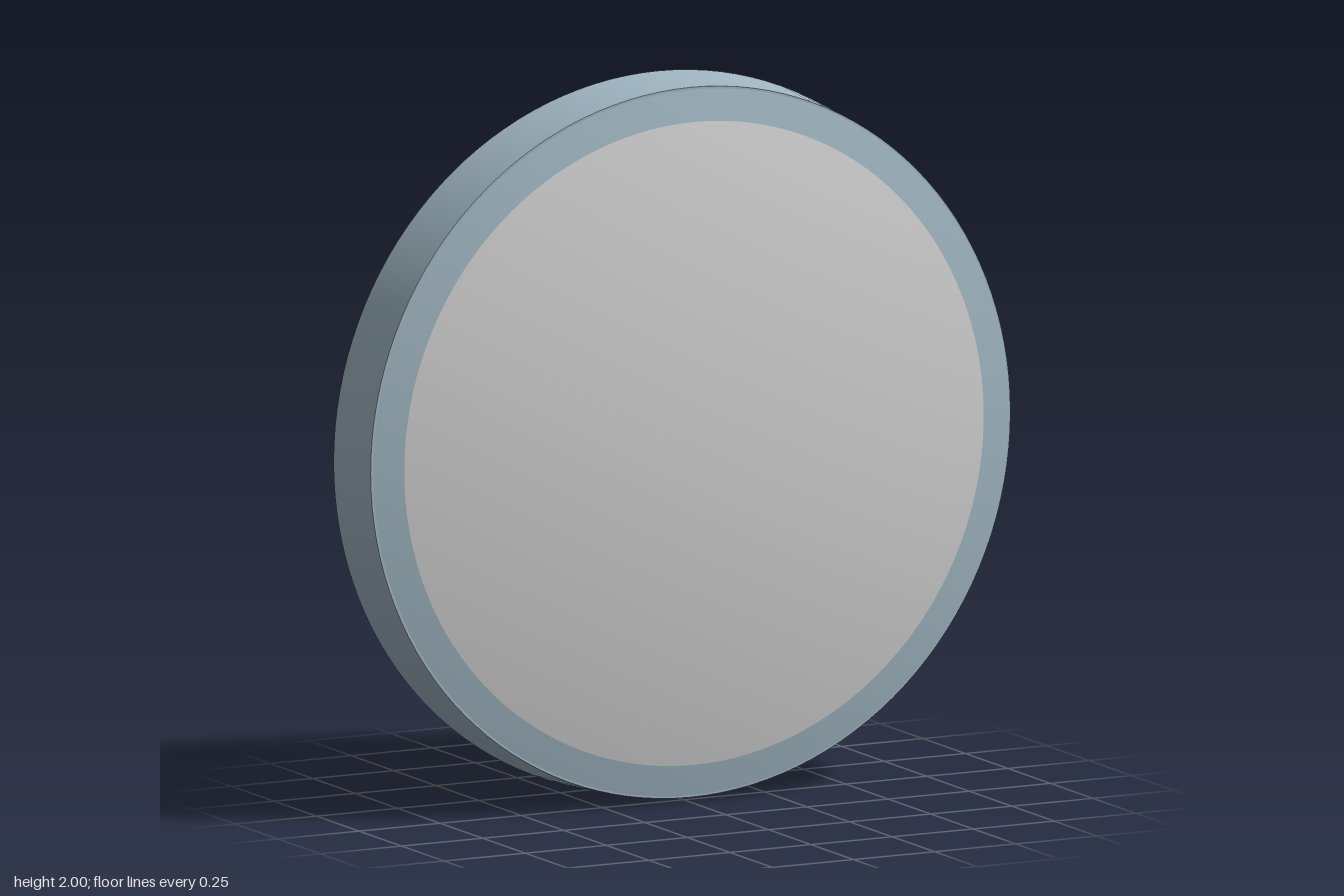
import * as THREE from 'three';
import { toCreasedNormals } from 'three/addons/utils/BufferGeometryUtils.js';

const SEG = 128;
const mat = (name, color) => Object.assign(new THREE.MeshStandardMaterial({ color }), { name });

export function createModel() {
  const group = new THREE.Group();
  const frame = mat('blueGreyFrame', 0xa0b6c2);
  const glass = mat('paleGreyFace', 0xd0d0d0);
  const liner = mat('slateBlueLiner', 0x626f92);
  const black = mat('black', 0x222222);

  const body = new THREE.Group();
  body.name = 'roundWallDisc';
  body.position.y = 1;
  group.add(body);

  const add = (name, geometry, material, x = 0, y = 0, z = 0) => {
    const mesh = new THREE.Mesh(geometry, material);
    mesh.name = name;
    mesh.position.set(x, y, z);
    body.add(mesh);
    return mesh;
  };
  // Turned part around the z axis, from [radius, z] pairs
  const turned = (name, profile, material) => {
    const g = new THREE.LatheGeometry(profile.map(([r, z]) => new THREE.Vector2(r, z)), SEG);
    g.rotateX(Math.PI / 2);
    return add(name, toCreasedNormals(g, 0.5), material);
  };
  // Shallow domed profile between two radii, outside to inside
  const dome = (r0, r1, steps) => Array.from({ length: steps + 1 }, (_, i) => {
    const r = r0 + (r1 - r0) * i / steps;
    return [r, 0.145 - 0.1 * (r / 0.98) ** 2];
  });

  // Slightly tapered outer rim with its back lip
  turned('rim', [[0.96, -0.15], [1, -0.15], [0.986, 0.042], [0.975, 0.042]], frame);
  turned('rimLiner', [[0.96, 0.015], [0.96, -0.15]], liner);

  // Domed front: coloured border and pale centre
  turned('frontBorder', dome(0.98, 0.893, 4), frame);
  turned('frontFace', dome(0.893, 0, 20), glass);

  // Recessed back plate
  turned('backPlate', [[0, 0.015], [0.96, 0.015], [0.96, 0.03], [0, 0.03]], black);

  // Mounting puck with a cover pierced by a keyhole and a screw well
  turned('mountPuck', [[0, -0.115], [0.46, -0.115], [0.46, 0.02]], black);
  const cover = new THREE.Shape().absarc(0, 0, 0.46, 0, Math.PI * 2);
  const keyhole = new THREE.Path();
  keyhole.absarc(0, 0.335, 0.028, Math.PI * 0.62, Math.PI * 2.38, false);
  keyhole.lineTo(0.01, 0.405);
  keyhole.lineTo(-0.01, 0.405);
  keyhole.closePath();
  const well = new THREE.Path().absarc(-0.057, -0.33, 0.052, 0, Math.PI * 2);
  cover.holes.push(keyhole, well);
  add('mountCover',
    new THREE.ExtrudeGeometry(cover, { depth: 0.016, bevelEnabled: false, curveSegments: 64 }),
    black, 0, 0, -0.13);

  // Slotted screw: two half-discs with a gap between them
  for (const side of [0, 1]) {
    const half = new THREE.Shape().absarc(0, 0, 0.044, 0.15, Math.PI - 0.15);
    const mesh = add('screwHalf',
      new THREE.ExtrudeGeometry(half, { depth: 0.014, bevelEnabled: false, curveSegments: 20 }),
      black, -0.057, -0.33, -0.128);
    mesh.rotation.z = Math.PI * (side + 0.35);
  }
  return group;
}
